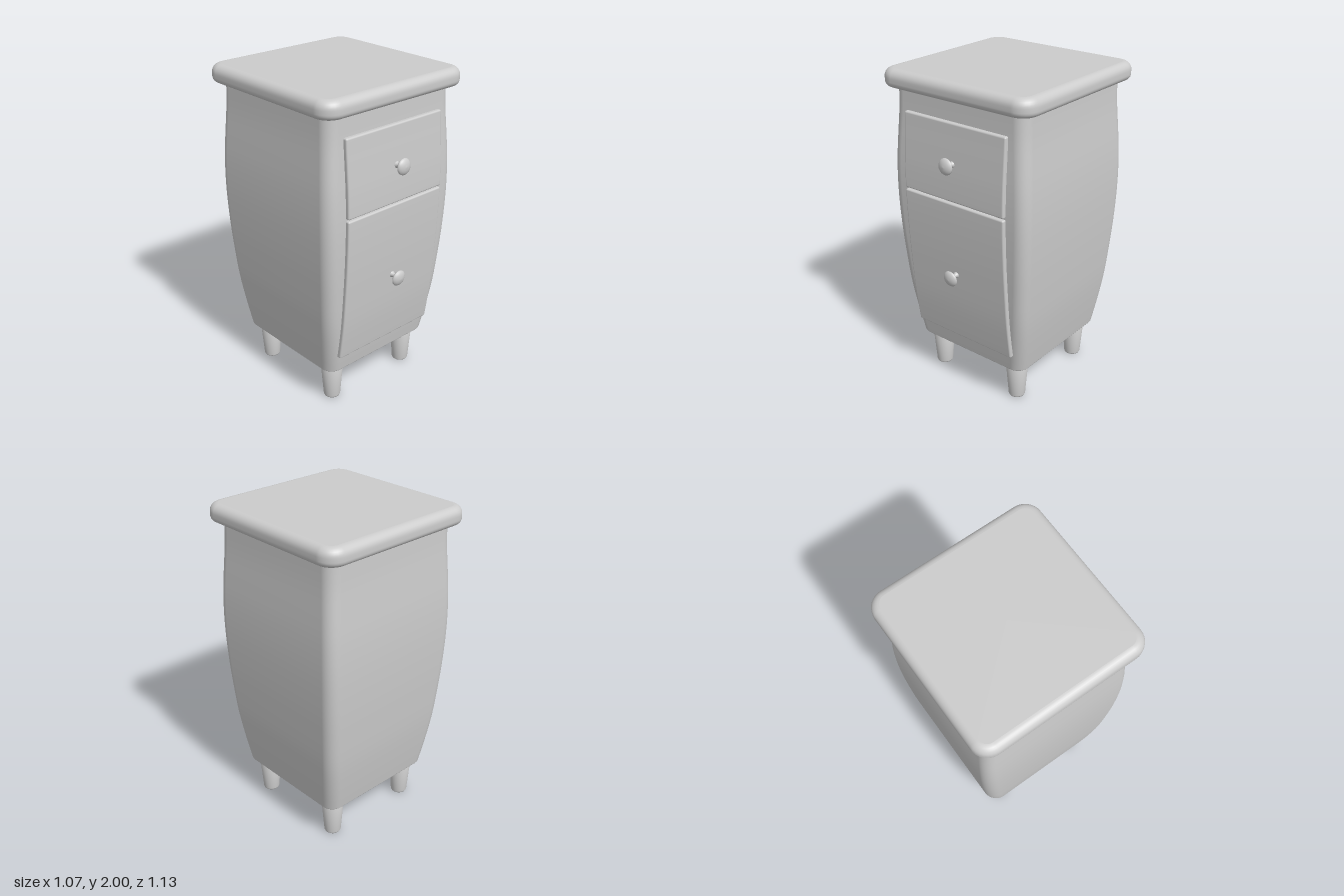
import * as THREE from 'three';

const ZC = -0.027; // cabinet centre in z (the knobs stick out in front)

// Half width of the bulging cabinet at a given height
const bulge = new THREE.CubicInterpolant(
  [0.245, 0.4, 0.6, 0.8, 1.0, 1.25, 1.45, 1.6, 1.75, 1.9],
  [0.409, 0.434, 0.461, 0.478, 0.491, 0.499, 0.496, 0.487, 0.477, 0.472], 1, [0]);
const halfWidth = (y) => bulge.evaluate(THREE.MathUtils.clamp(y, 0.245, 1.9))[0];

// One rounded-rectangle cross-section, as [x, z] pairs
function ring(hx, hz, r, steps = 8) {
  const points = [];
  [[1, 1], [-1, 1], [-1, -1], [1, -1]].forEach(([sx, sz], q) => {
    for (let i = 0; i <= steps; i++) {
      const a = (q + i / steps) * Math.PI / 2;
      points.push([sx * (hx - r) + r * Math.cos(a), sz * (hz - r) + r * Math.sin(a)]);
    }
  });
  return points;
}

// Skin over rows of cross-sections { y, hx, hz, r, z }, capped at both ends
function loft(rows) {
  const pos = [], index = [];
  const rings = rows.map((row) => ring(row.hx, row.hz, row.r).map(([x, z]) => [x, row.y, z + row.z]));
  const n = rings[0].length;
  rings.forEach((points) => points.forEach((p) => pos.push(...p)));
  for (let j = 0; j < rings.length - 1; j++) {
    for (let i = 0; i < n; i++) {
      const a = j * n + i, b = j * n + (i + 1) % n;
      index.push(a, a + n, b, b, a + n, b + n);
    }
  }
  for (const top of [false, true]) {
    const k = top ? rings.length - 1 : 0;
    const centre = pos.length / 3;
    pos.push(0, rows[k].y, rows[k].z);
    rings[k].forEach((p) => pos.push(...p));
    for (let i = 0; i < n; i++) {
      const a = centre + 1 + i, b = centre + 1 + (i + 1) % n;
      index.push(centre, top ? b : a, top ? a : b);
    }
  }
  const geometry = new THREE.BufferGeometry();
  geometry.setAttribute('position', new THREE.Float32BufferAttribute(pos, 3));
  geometry.setIndex(index);
  geometry.computeVertexNormals();
  return geometry;
}

// Heights from y0 to y1 with rounded ends: [y, inset] pairs
function roundedHeights(y0, y1, rBottom, rTop, middle, steps = 5) {
  const out = [];
  for (let i = 0; i <= steps; i++) {
    const a = i / steps * Math.PI / 2;
    out.push([y0 + rBottom * (1 - Math.sin(a)), rBottom * (1 - Math.cos(a))]);
  }
  out.reverse();
  out.forEach((o, i) => {
    const a = i / steps * Math.PI / 2;
    o[0] = y0 + rBottom * (1 - Math.cos(a));
    o[1] = rBottom * (1 - Math.sin(a));
  });
  for (let i = 1; i < middle; i++) {
    out.push([THREE.MathUtils.lerp(y0 + rBottom, y1 - rTop, i / middle), 0]);
  }
  for (let i = 0; i <= steps; i++) {
    const a = i / steps * Math.PI / 2;
    out.push([y1 - rTop * (1 - Math.sin(a)), rTop * (1 - Math.cos(a))]);
  }
  return out;
}

const lathe = (profile, segments) =>
  new THREE.LatheGeometry(profile.map(([r, y]) => new THREE.Vector2(r, y)), segments);

export function createModel() {
  const model = new THREE.Group();
  const grey = new THREE.MeshStandardMaterial({ color: 0xcccccc });
  grey.name = 'plain grey';

  const add = (name, geometry, x = 0, y = 0, z = 0) => {
    const mesh = new THREE.Mesh(geometry, grey);
    mesh.name = name;
    mesh.position.set(x, y, z);
    model.add(mesh);
    return mesh;
  };

  // Bulging cabinet body
  add('cabinetBody', loft(roundedHeights(0.245, 1.91, 0.01, 0.005, 28).map(([y, inset]) => {
    const h = halfWidth(y) - inset;
    return { y, hx: h, hz: h, r: 0.075 - inset, z: ZC };
  })));

  // Table top with soft edges
  add('tableTop', loft(roundedHeights(1.892, 2, 0.035, 0.05, 2, 7).map(([y, inset]) => (
    { y, hx: 0.537 - inset, hz: 0.537 - inset, r: 0.105 - inset, z: ZC }
  ))));

  // Drawer fronts that follow the bulge
  const drawer = (name, y0, y1) => {
    add(name, loft(roundedHeights(y0, y1, 0.01, 0.01, 16).map(([y, inset]) => (
      { y, hx: 0.37 - inset, hz: 0.021 - inset, r: 0.0105 - inset, z: ZC + halfWidth(y) + 0.003 }
    ))));
  };
  drawer('upperDrawer', 1.304, 1.768);
  drawer('lowerDrawer', 0.366, 1.294);

  // Turned knobs, set square to the curved fronts
  const knobProfile = [[0.022, -0.006], [0.018, 0.004], [0.013, 0.012], [0.012, 0.024], [0.016, 0.032],
    [0.03, 0.039], [0.043, 0.045], [0.049, 0.051], [0.049, 0.056], [0.044, 0.063],
    [0.033, 0.07], [0.018, 0.075], [0, 0.077]];
  for (const [name, y] of [['upperKnob', 1.533], ['lowerKnob', 0.83]]) {
    const slope = (halfWidth(y + 0.05) - halfWidth(y - 0.05)) / 0.1;
    const knob = add(name, lathe(knobProfile, 32), 0, y, ZC + halfWidth(y) + 0.023);
    knob.rotation.x = Math.PI / 2 + Math.atan(slope);
  }

  // Four tapered legs
  const legProfile = [[0, 0], [0.042, 0], [0.048, 0.003], [0.052, 0.012], [0.071, 0.25], [0, 0.25]];
  for (const sx of [-1, 1]) {
    for (const sz of [-1, 1]) {
      add(`${sz > 0 ? 'front' : 'back'}${sx > 0 ? 'Left' : 'Right'}Leg`,
        lathe(legProfile, 28), sx * 0.304, 0, ZC + sz * 0.304);
    }
  }
  return model;
}
